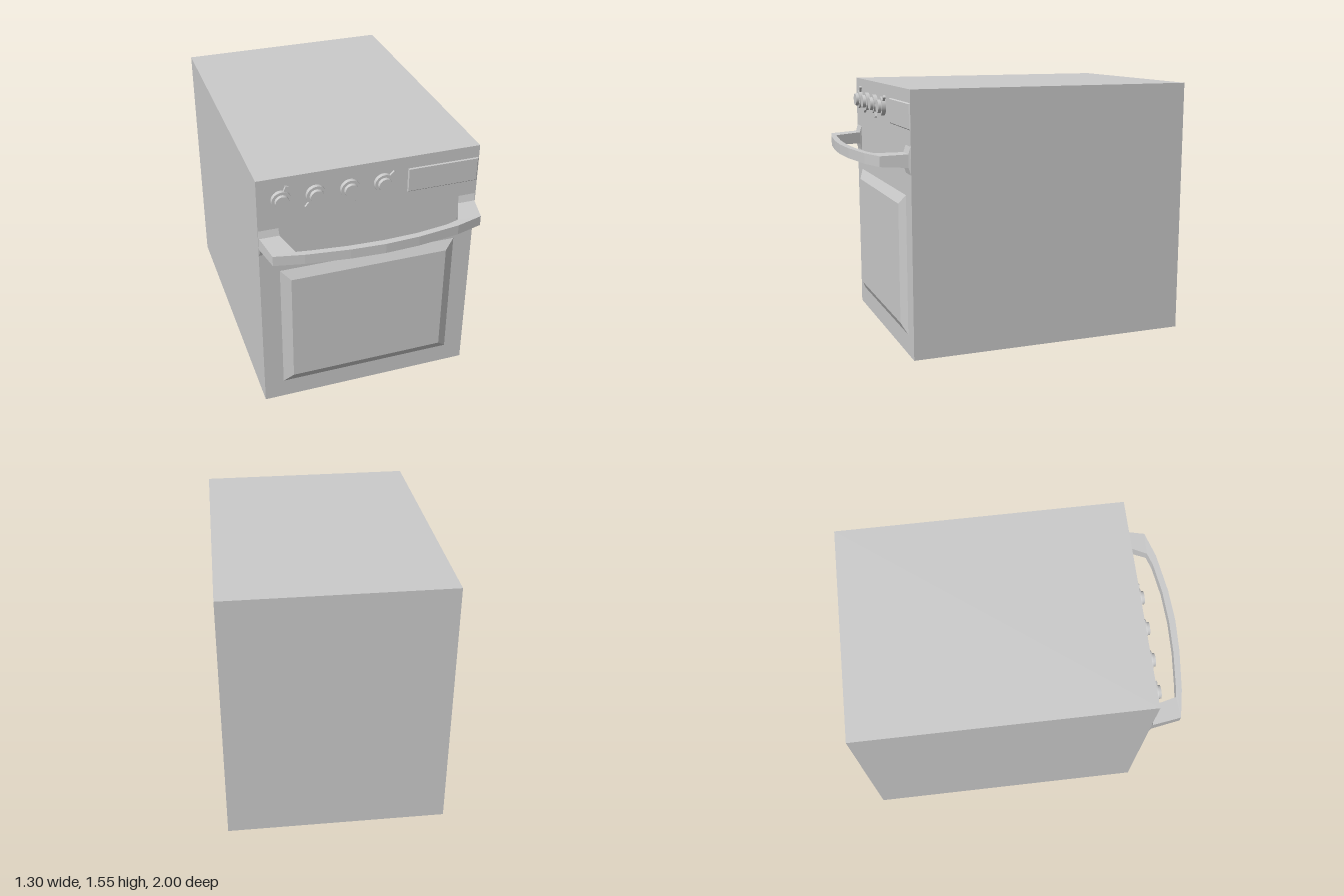
import * as THREE from 'three';

const FACE = 0.74; // z of the front face
const mat = new THREE.MeshStandardMaterial({ color: 0xcccccc });

function add(parent, name, geometry, x = 0, y = 0, z = 0) {
  const mesh = new THREE.Mesh(geometry, mat);
  mesh.name = name;
  mesh.position.set(x, y, z);
  parent.add(mesh);
  return mesh;
}

// Raised panel: a box whose front face is inset to leave sloping edges
function bevelledPanel(w, h, depth, inset) {
  const g = new THREE.BoxGeometry(w, h, depth);
  const p = g.attributes.position;
  for (let i = 0; i < p.count; i++) {
    if (p.getZ(i) < 0) continue;
    p.setXY(i, p.getX(i) - Math.sign(p.getX(i)) * inset, p.getY(i) - Math.sign(p.getY(i)) * inset);
  }
  g.computeVertexNormals();
  return g;
}

// Loft of rectangular sections: [outer x, outer z, inner x, inner z, half height]
function handleGeometry(stations) {
  const rings = stations.map(([ox, oz, ix, iz, h]) => [[ox, h, oz], [ix, h, iz], [ix, -h, iz], [ox, -h, oz]]);
  const pos = [];
  const quad = (a, b, c, d) => pos.push(...a, ...b, ...c, ...a, ...c, ...d);
  for (let i = 0; i < rings.length - 1; i++) {
    for (let j = 0; j < 4; j++) {
      const k = (j + 1) % 4;
      quad(rings[i][j], rings[i + 1][j], rings[i + 1][k], rings[i][k]);
    }
  }
  // end caps
  const a = rings[0], b = rings[rings.length - 1];
  quad(a[0], a[1], a[2], a[3]);
  quad(b[3], b[2], b[1], b[0]);
  const g = new THREE.BufferGeometry();
  g.setAttribute('position', new THREE.Float32BufferAttribute(pos, 3));
  g.computeVertexNormals();
  return g;
}

function disc(r1, r2, depth) {
  return new THREE.CylinderGeometry(r1, r2, depth, 32).rotateX(Math.PI / 2);
}

function knob(angle) {
  const g = new THREE.Group();
  g.name = 'knob';
  add(g, 'knobSkirt', disc(0.057, 0.057, 0.024), 0, 0, 0.012);
  add(g, 'knobCap', disc(0.039, 0.041, 0.02), 0, 0, 0.033);
  add(g, 'knobPointer', new THREE.BoxGeometry(0.045, 0.019, 0.014), 0.068, 0, 0.012);
  g.rotation.z = THREE.MathUtils.degToRad(angle);
  return g;
}

export function createModel() {
  const oven = new THREE.Group();
  oven.name = 'oven';

  add(oven, 'body', new THREE.BoxGeometry(1.305, 1.555, 1 + FACE), 0, 0.7775, (FACE - 1) / 2);
  add(oven, 'doorPanel', bevelledPanel(1.07, 0.83, 0.03, 0.058), 0, 0.535, FACE + 0.015);
  add(oven, 'displayPanel', bevelledPanel(0.43, 0.15, 0.006, 0.006), 0.435, 1.405, FACE + 0.003);

  // four control knobs, each turned differently
  [68, 230, -62, 45].forEach((angle, i) => {
    const k = knob(angle);
    k.position.set(-0.517 + i * 0.197, 1.42, FACE);
    oven.add(k);
  });

  // bowed handle, flared where it meets the front
  add(oven, 'handle', handleGeometry([
    [-0.65, FACE, -0.535, FACE, 0.08],
    [-0.648, 0.752, -0.533, 0.752, 0.038],
    [-0.62, 0.925, -0.49, 0.918, 0.03],
    [-0.45, 0.96, -0.41, 0.93, 0.03],
    [-0.2, 0.99, -0.2, 0.952, 0.03],
    [0, 1.0, 0, 0.96, 0.03],
    [0.2, 0.99, 0.2, 0.952, 0.03],
    [0.45, 0.955, 0.39, 0.925, 0.03],
    [0.61, 0.907, 0.47, 0.9, 0.03],
    [0.643, 0.752, 0.54, 0.752, 0.038],
    [0.648, FACE, 0.545, FACE, 0.08],
  ]), 0, 1.16, 0);

  return oven;
}
